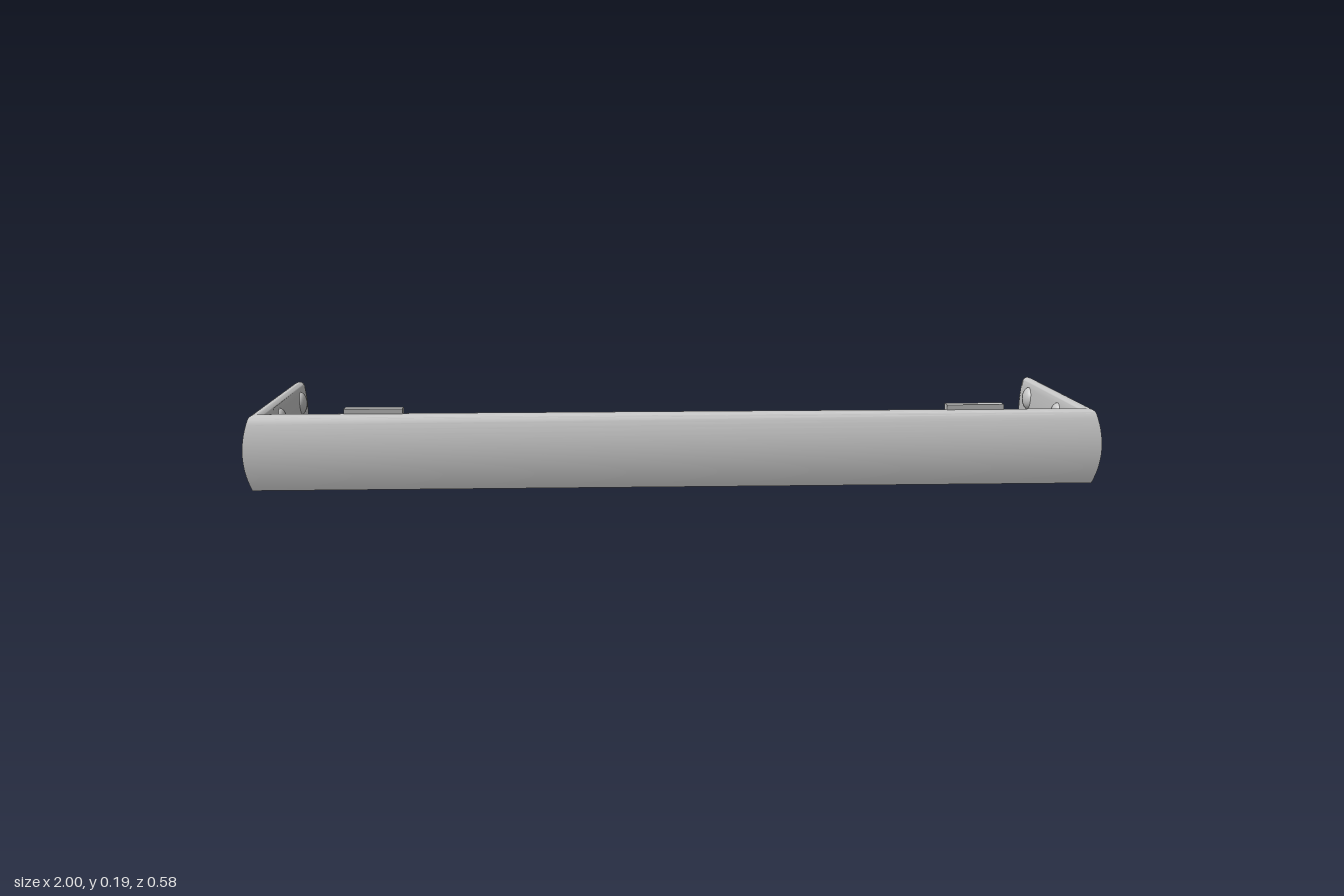
import * as THREE from 'three';
import { toCreasedNormals } from 'three/addons/utils/BufferGeometryUtils.js';

const H = 0.177;      // bar height
const FRONT = 0.29;   // front and back reach of the bar
const ROUND = 0.01;   // radius of the rounded top edges

// U-shaped bar: a thin lens-like section swept round two mitred corners
function barGeometry() {
  // Heights up each face: even steps, then closer steps round the top edge
  const heights = [];
  for (let k = 0; k < 14; k++) heights.push(((H - ROUND) * k) / 14);
  for (let k = 0; k <= 6; k++) heights.push(H - ROUND + ROUND * Math.sin((k / 6) * Math.PI / 2));
  const steps = heights.length - 1;

  const section = heights.map(y => {
    const t = (y / H) * 2 - 1;
    const rise = Math.max(0, y - (H - ROUND));
    const round = ROUND - Math.sqrt(Math.max(0, ROUND * ROUND - rise * rise));
    const outer = 0.016 * t * t + round;
    const inner = 0.047 - 0.007 * t * t - round;
    return { y, outer, inner, mid: (outer + inner) / 2 };
  });
  const outline = [
    ...section.map(s => ({ ...s, d: s.outer })),
    ...section.map(s => ({ ...s, d: s.inner })).reverse(),
  ];
  const n = outline.length;

  // Rounded arm ends: distance from the tip and share of full thickness
  const tips = [[0, 0.35], [0.004, 0.68], [0.011, 0.9], [0.024, 1]];
  const armRing = (side, [back, share]) => outline.map(p => {
    const d = p.mid + (p.d - p.mid) * share;
    return [side * (1 - d), p.y, -FRONT + p.outer + back];
  });
  const cornerRing = side => outline.map(p => [side * (1 - p.d), p.y, FRONT - p.d]);
  const rings = [
    ...tips.map(t => armRing(-1, t)), cornerRing(-1),
    cornerRing(1), ...tips.map(t => armRing(1, t)).reverse(),
  ];

  const index = [];
  const quad = (a, b, c, d) => index.push(a, b, c, a, c, d);
  for (let i = 0; i < rings.length - 1; i++) {
    for (let j = 0; j < n; j++) {
      const k = (j + 1) % n;
      quad(i * n + j, (i + 1) * n + j, (i + 1) * n + k, i * n + k);
    }
  }
  // End caps join outer and inner points of equal height
  const last = (rings.length - 1) * n;
  for (let k = 0; k < steps; k++) {
    const m = n - 1 - k;
    quad(k, k + 1, m - 1, m);
    quad(last + m, last + m - 1, last + k + 1, last + k);
  }
  const geo = new THREE.BufferGeometry();
  geo.setAttribute('position', new THREE.Float32BufferAttribute(rings.flat(2), 3));
  geo.setIndex(index);
  return toCreasedNormals(geo, 0.6);
}

// Hooked bracket: profile drawn in z and y, extruded across x
function bracketGeometry(width) {
  const s = new THREE.Shape();
  s.moveTo(0.268, 0.189);
  s.lineTo(0.24, 0.189);
  s.lineTo(0.235, 0.11);
  s.bezierCurveTo(0.232, 0.055, 0.21, 0.027, 0.17, 0.026);
  s.lineTo(0.13, 0.026);
  s.lineTo(0.13, 0.005);
  s.lineTo(0.18, 0.005);
  s.bezierCurveTo(0.22, 0.007, 0.247, 0.04, 0.249, 0.09);
  s.lineTo(0.252, 0.175);
  s.lineTo(0.265, 0.175);
  s.closePath();
  const geo = new THREE.ExtrudeGeometry(s, { depth: width, bevelEnabled: false, curveSegments: 12 });
  geo.translate(0, 0, -width / 2);
  geo.rotateY(-Math.PI / 2);
  return toCreasedNormals(geo, 0.5);
}

export function createModel() {
  const group = new THREE.Group();
  const metal = new THREE.MeshStandardMaterial({ color: 0xc6c6c6 });
  metal.name = 'light grey metal';
  const add = (name, geo, x = 0, y = 0, z = 0) => {
    const mesh = new THREE.Mesh(geo, metal);
    mesh.name = name;
    mesh.position.set(x, y, z);
    group.add(mesh);
    return mesh;
  };

  add('bar', barGeometry());

  const bracket = bracketGeometry(0.135);
  const bolt = new THREE.SphereGeometry(0.03, 24, 16);
  for (const [side, label] of [[1, 'left'], [-1, 'right']]) {
    add(label + 'Bracket', bracket, side * 0.702);
    // Domed bolt heads on the inside of each arm
    for (const [z, place] of [[-0.192, 'Rear'], [0.067, 'Front']]) {
      add(label + place + 'Bolt', bolt, side * 0.959, 0.13, z).scale.x = 0.6;
    }
  }
  return group;
}
